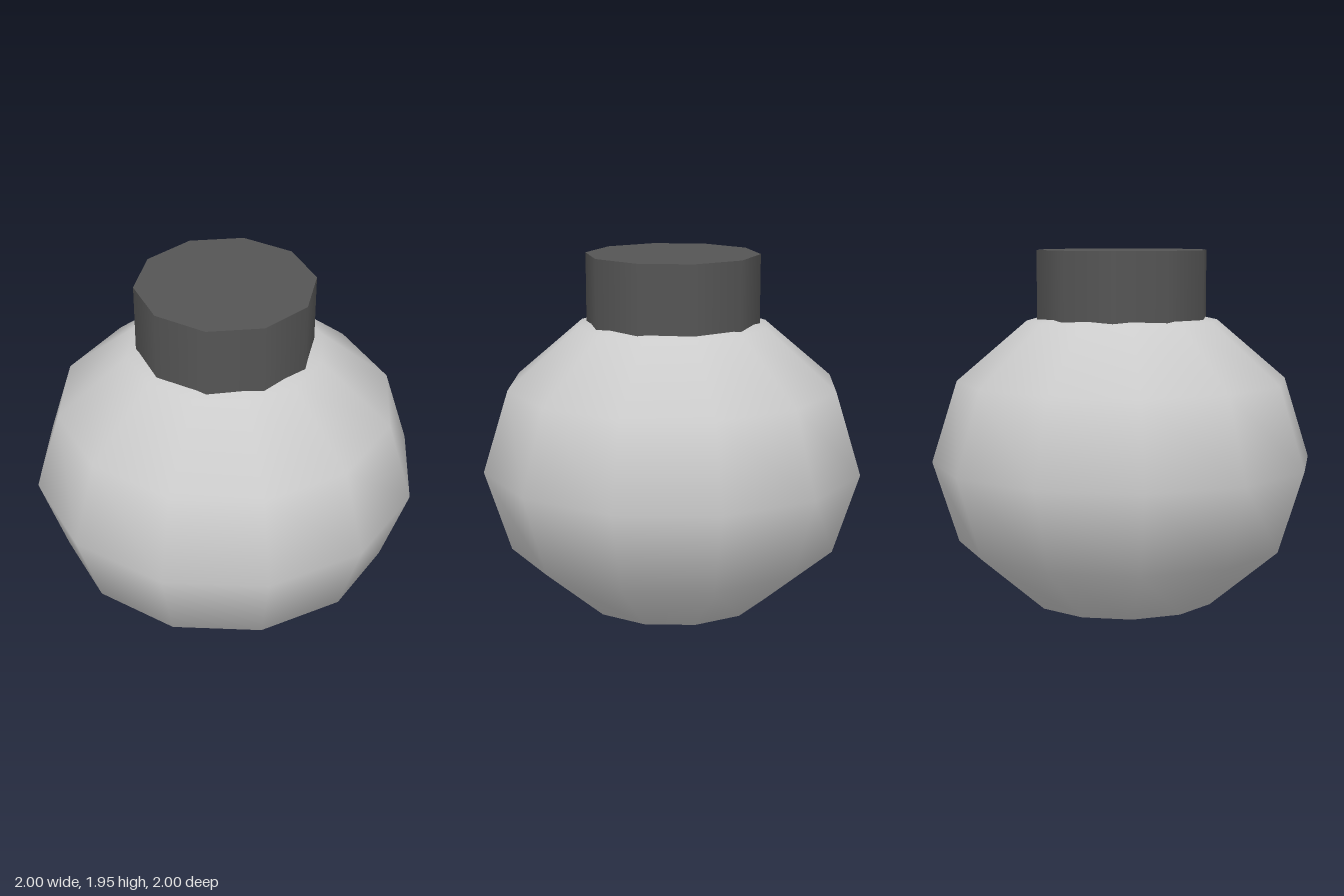
import * as THREE from 'three';

export function createModel() {
  const model = new THREE.Group();

  // Squashed round body, 12 sides by 6 bands
  const body = new THREE.Mesh(
    new THREE.SphereGeometry(1, 12, 6),
    new THREE.MeshStandardMaterial({ color: 0xcccccc })
  );
  body.name = 'body';
  body.scale.y = 0.85;
  body.position.y = 0.85;
  model.add(body);

  // Dark ten-sided cap, sunk slightly into the body
  const cap = new THREE.Mesh(
    new THREE.CylinderGeometry(0.45, 0.45, 0.4, 10),
    new THREE.MeshStandardMaterial({ color: 0x555555 })
  );
  cap.name = 'cap';
  cap.position.y = 1.75;
  model.add(cap);

  return model;
}
